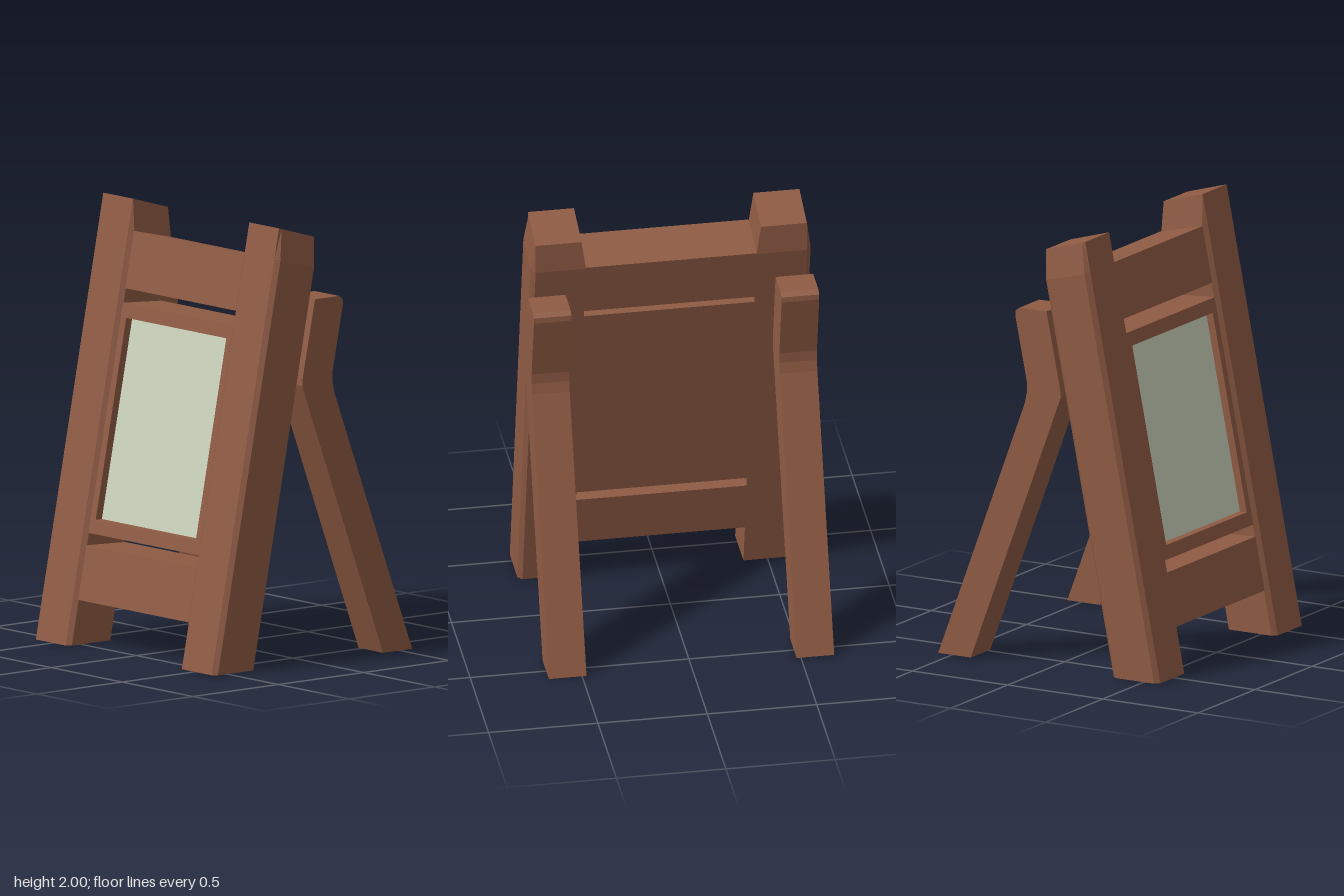
import * as THREE from 'three';

const LEAN = -0.1975; // change of z per unit of height on the leaning board
const BACK = 0.33;    // z of the board's back at the ground
const FACE = 0.558;   // z of the rails' front at the ground
const GLASS = 0.522;  // z of the recessed pane at the ground

const wood = new THREE.MeshStandardMaterial({ color: 0x8f5b43 });
wood.name = 'brown wood';
const pane = new THREE.MeshStandardMaterial({ color: 0xcad2bc });
pane.name = 'pale green pane';

// Extrude a side profile of [z, y] points from x0 to x1
function slab(name, profile, x0, x1, material = wood) {
  const shape = new THREE.Shape(profile.map(([z, y]) => new THREE.Vector2(-z, y)));
  const geo = new THREE.ExtrudeGeometry(shape, { depth: x1 - x0, bevelEnabled: false });
  geo.rotateY(Math.PI / 2).translate(x0, 0, 0);
  const mesh = new THREE.Mesh(geo, material);
  mesh.name = name;
  return mesh;
}

// Leaning bar: heights of the bottom and top edges at front and back
function bar(name, botF, botB, topF, topB, x0, x1, front = FACE, back = BACK, material = wood) {
  const p = (z, y) => [z + LEAN * y, y];
  return slab(name, [p(front, botF), p(back, botB), p(back, topB), p(front, topF)], x0, x1, material);
}

// Chamfered leaning post with a narrowed top, made from three rings
function post(name, side) {
  const outline = [ // x, z at ground, height of shoulder, z at top
    [0.41, 0.575, 1.86, 0.18], [0.62, 0.575, 1.86, 0.18],
    [0.64, 0.555, 1.855, 0.165], [0.64, 0.35, 1.805, -0.008],
    [0.62, 0.33, 1.8, -0.025], [0.39, 0.33, 1.8, -0.025],
    [0.39, 0.555, 1.855, 0.165],
  ];
  const n = outline.length;
  const pos = [];
  for (const [x, z] of outline) pos.push(side * x, 0, z);
  for (const [x, z, y] of outline) pos.push(side * x, y, z + LEAN * y);
  for (const [x, , , z] of outline) {
    pos.push(side * THREE.MathUtils.clamp(x, 0.41, 0.62), 2 - (0.18 - z) * 0.293, z);
  }
  const index = [];
  const tri = (a, b, c) => (side > 0 ? index.push(a, b, c) : index.push(a, c, b));
  for (let r = 0; r < 2; r++) {
    for (let i = 0; i < n; i++) {
      const a = r * n + i, b = r * n + (i + 1) % n;
      tri(a, b, b + n);
      tri(a, b + n, a + n);
    }
  }
  for (let i = 1; i < n - 1; i++) {
    tri(0, i + 1, i);
    tri(2 * n, 2 * n + i, 2 * n + i + 1);
  }
  let geo = new THREE.BufferGeometry();
  geo.setAttribute('position', new THREE.Float32BufferAttribute(pos, 3));
  geo.setIndex(index);
  geo = geo.toNonIndexed();
  geo.computeVertexNormals();
  const mesh = new THREE.Mesh(geo, wood);
  mesh.name = name;
  return mesh;
}

export function createModel() {
  const model = new THREE.Group();
  model.name = 'standingSignBoard';

  // Posts
  model.add(post('leftPost', 1), post('rightPost', -1));

  // Cross rails
  model.add(bar('topRail', 1.6, 1.55, 1.857, 1.805, -0.39, 0.39));
  model.add(bar('bottomRail', 0.205, 0.195, 0.45, 0.44, -0.39, 0.39));

  // Framed panel: border, backboard and recessed pane
  const panel = new THREE.Group();
  panel.name = 'panel';
  panel.add(
    bar('panelTop', 1.472, 1.464, 1.535, 1.52, -0.39, 0.39),
    bar('panelBottom', 0.505, 0.485, 0.568, 0.568, -0.39, 0.39),
    bar('panelLeft', 0.568, 0.568, 1.472, 1.464, 0.353, 0.39),
    bar('panelRight', 0.568, 0.568, 1.472, 1.464, -0.39, -0.353),
    bar('backboard', 0.568, 0.568, 1.464, 1.464, -0.353, 0.353, GLASS - 0.006),
    bar('pane', 0.568, 0.568, 1.471, 1.471, -0.353, 0.353, GLASS, GLASS - 0.006, pane),
  );
  model.add(panel);

  // Bent rear legs
  const legProfile = [
    [-0.402, 0], [-0.573, 0], [-0.118, 1.22], [-0.107, 1.27], [-0.107, 1.32],
    [-0.168, 1.62], [-0.166, 1.645], [-0.145, 1.66], [-0.004, 1.66],
    [0.068, 1.305], [0.071, 1.27],
  ];
  model.add(slab('leftLeg', legProfile, 0.48, 0.652));
  model.add(slab('rightLeg', legProfile, -0.652, -0.48));

  return model;
}
